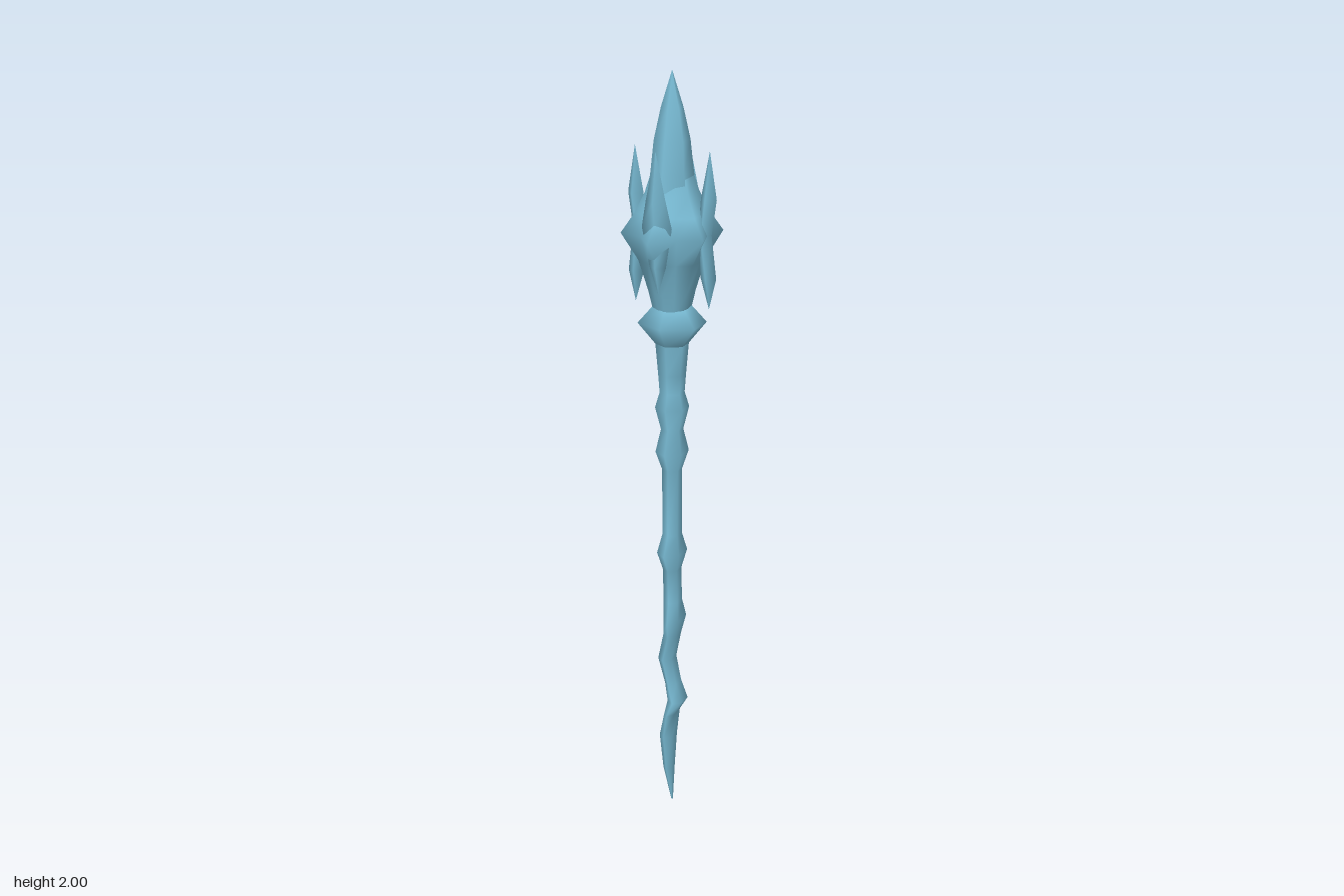
import * as THREE from 'three';

const ice = new THREE.MeshStandardMaterial({ color: 0x78bad3 });
ice.name = 'iceBlue';

// Skins rings of points (each ring runs counterclockwise seen from above, rings go upward)
function loft(name, rings) {
  const n = rings[0].length;
  const index = [];
  for (let r = 0; r < rings.length - 1; r++) {
    for (let i = 0; i < n; i++) {
      const a = r * n + i, b = r * n + (i + 1) % n;
      index.push(a, b, b + n, a, b + n, a + n);
    }
  }
  const geometry = new THREE.BufferGeometry();
  geometry.setAttribute('position', new THREE.Float32BufferAttribute(rings.flat(2), 3));
  geometry.setIndex(index);
  geometry.computeVertexNormals();
  const mesh = new THREE.Mesh(geometry, ice);
  mesh.name = name;
  return mesh;
}

// Ring with half widths rx and rz; a six-sided ring has corners on +z and -z
function ring(sides, y, cx, rx, rz, cz = 0) {
  const widest = sides === 6 ? Math.sin(Math.PI / 3) : 1;
  return Array.from({ length: sides }, (_, i) => {
    const a = i / sides * Math.PI * 2;
    return [cx + Math.sin(a) * rx / widest, y, cz + Math.cos(a) * rz];
  });
}

// Twelve-point ring alternating between spike and valley radii
function starRing(y, spike, valley, pole = spike) {
  return Array.from({ length: 12 }, (_, i) => {
    const a = i / 12 * Math.PI * 2;
    const r = i % 2 ? valley : (i % 6 === 0 ? pole : spike);
    return [Math.sin(a) * r, y, Math.cos(a) * r];
  });
}

export function createModel() {
  const group = new THREE.Group();
  group.name = 'crystalStaff';

  // Crooked shaft with knots: y, x offset, half width x, half width z
  const shaft = [
    [0, 0, 0.002, 0.002], [0.1, -0.009, 0.012, 0.022], [0.2, -0.011, 0.018, 0.034],
    [0.27, 0, 0.014, 0.04], [0.31, 0.016, 0.021, 0.038], [0.36, 0.003, 0.016, 0.034],
    [0.43, -0.014, 0.019, 0.033], [0.5, 0, 0.019, 0.031], [0.55, 0.008, 0.021, 0.053],
    [0.6, 0.002, 0.02, 0.03], [0.69, 0, 0.02, 0.029], [0.74, 0, 0.031, 0.055],
    [0.79, 0, 0.021, 0.03], [0.97, 0, 0.022, 0.028], [1.02, 0, 0.036, 0.049],
    [1.08, 0, 0.025, 0.029], [1.14, 0, 0.038, 0.044], [1.18, 0, 0.028, 0.031],
    [1.23, 0, 0.031, 0.036], [1.31, 0, 0.037, 0.042],
  ];
  group.add(loft('shaft', shaft.map(([y, cx, rx, rz]) => ring(6, y, cx, rx, rz))));

  // Pointed collar under the head
  const collar = [[1.31, 0.037, 0.042], [1.365, 0.078, 0.078], [1.41, 0.042, 0.046]];
  group.add(loft('collar', collar.map(([y, rx, rz]) => ring(6, y, 0, rx, rz))));

  // Head with six side spikes
  group.add(loft('spikedHead', [
    starRing(1.39, 0.046, 0.041),
    starRing(1.45, 0.06, 0.055),
    starRing(1.53, 0.085, 0.076),
    starRing(1.6, 0.128, 0.096, 0.15),
    starRing(1.65, 0.093, 0.08, 0.1),
    starRing(1.7, 0.068, 0.06),
    starRing(1.74, 0.055, 0.048),
  ]));

  // Central spike
  const spike = [[1.68, 0.055, 0.07], [1.75, 0.045, 0.061], [1.83, 0.039, 0.046],
    [1.91, 0.024, 0.027], [2, 0, 0]];
  group.add(loft('centralSpike', spike.map(([y, rx, rz]) => ring(6, y, 0, rx, rz))));

  // Four blades around the head: y, distance out, half thickness, half width
  const sideBlade = [[1.41, 0.1, 0, 0], [1.49, 0.098, 0.021, 0.02], [1.6, 0.088, 0.018, 0.027],
    [1.69, 0.098, 0.021, 0.027], [1.81, 0.1, 0, 0]];
  const faceBlade = [[1.46, 0.086, 0, 0], [1.53, 0.088, 0.018, 0.022], [1.63, 0.093, 0.017, 0.04],
    [1.7, 0.099, 0.02, 0.026], [1.82, 0.1, 0, 0]];
  for (const s of [1, -1]) {
    group.add(loft(s > 0 ? 'leftBlade' : 'rightBlade',
      sideBlade.map(([y, out, t, w]) => ring(4, y, s * out, t, w))));
    group.add(loft(s > 0 ? 'frontBlade' : 'backBlade',
      faceBlade.map(([y, out, t, w]) => ring(4, y, 0, w, t, s * out))));
  }
  return group;
}
